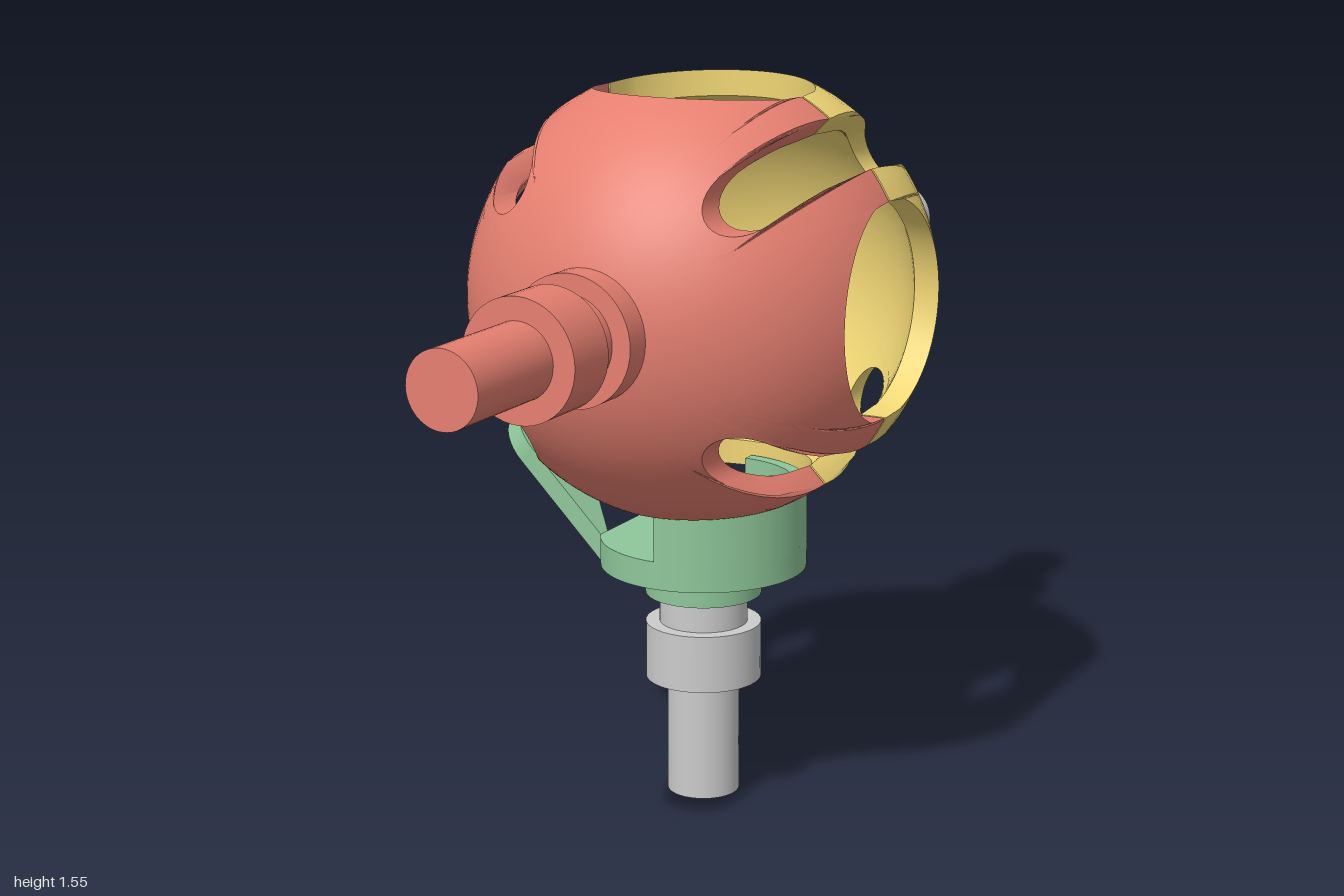
import * as THREE from 'three';
import { toCreasedNormals } from 'three/addons/utils/BufferGeometryUtils.js';

const mat = (color) => new THREE.MeshStandardMaterial({ color, side: THREE.DoubleSide });
const GREY = mat(0xcccccc), RED = mat(0xe57f70), YELLOW = mat(0xf0d675), GREEN = mat(0x8fc79a);

const CX = 0.017, CY = 1.11;              // centre of the ball
const R_OUT = 0.48, R_IN = 0.43;          // shell radii
const SHIFT = 0.03, GAP = 0.003;          // sphere centre offset and seam gap along z
const HOLE = 0.23;                        // radius of the round side openings
const SLOT_W = 0.067, SLOT_C = 0.378;     // slot half width, centre of its round end
const RING = 0.305, POLE = 0.05;          // guide rings for the surface grid

function mesh(name, geometry, material) {
  const m = new THREE.Mesh(geometry, material);
  m.name = name;
  return m;
}

// Rim of one eighth of a half shell (from opening centre to slot tip), with guide azimuths
function eighthRim(R) {
  const rho = Math.sqrt(R * R - (SHIFT - GAP) ** 2);
  const limit = Math.PI / 4 - Math.asin(SLOT_W / RING);
  const rim = [];
  const slotPoint = (s, o) => [(s - o) * Math.SQRT1_2, (s + o) * Math.SQRT1_2];
  const end = Math.acos(GAP / HOLE);
  for (let i = 0; i <= 16; i++) {         // round opening
    const a = (i / 16) * end, x = HOLE * Math.sin(a), z = HOLE * Math.cos(a);
    rim.push([x, Math.sqrt(R * R - x * x - (z - SHIFT) ** 2)]);
  }
  const a0 = Math.asin(Math.sin(end) * HOLE / rho), a1 = Math.PI / 4 - Math.asin(SLOT_W / rho);
  for (let i = 1; i <= 4; i++) {          // seam edge
    const a = a0 + (a1 - a0) * i / 4;
    rim.push([rho * Math.sin(a), rho * Math.cos(a)]);
  }
  const s0 = Math.sqrt(rho * rho - SLOT_W * SLOT_W);
  for (let i = 1; i <= 4; i++) rim.push(slotPoint(s0 + (SLOT_C - s0) * i / 4, SLOT_W)); // slot side
  const n = rim.length;
  const out = rim.map(([x, y], i) => ({ x, y, az: Math.min(Math.atan2(x, y), limit - (n - i) * 0.0005) }));
  for (let i = 1; i <= 8; i++) {          // round slot end
    const b = (i / 8) * Math.PI / 2, o = SLOT_W * Math.cos(b);
    const [x, y] = slotPoint(SLOT_C - SLOT_W * Math.sin(b), o);
    out.push({ x, y, az: Math.PI / 4 - Math.asin(o / RING) });
  }
  return out;
}

// Full rim: mirror the eighth into a quarter, then turn it four times
function fullRim(R) {
  const e = eighthRim(R);
  const mirrored = e.slice(1, -1).reverse().map((p) => ({ x: p.y, y: p.x, az: Math.PI / 2 - p.az }));
  const quarter = [...e, ...mirrored];
  const rim = [];
  for (let q = 0; q < 4; q++) {
    const c = Math.round(Math.cos(q * Math.PI / 2)), s = Math.round(Math.sin(q * Math.PI / 2));
    for (const p of quarter) rim.push({ x: p.x * c + p.y * s, y: p.y * c - p.x * s, az: p.az + q * Math.PI / 2 });
  }
  return rim;
}

// Rows of points running from the pole to the rim on a sphere of radius R
function sphereRows(R) {
  const rows = [];
  const onSphere = (x, y) => new THREE.Vector3(x, y, Math.sqrt(Math.max(0, R * R - x * x - y * y)));
  const rim = fullRim(R).map((p) => {
    const r = Math.hypot(p.x, p.y);
    const edge = onSphere(p.x, p.y);
    if (R * R - r * r < (SHIFT - GAP) ** 2 + 1e-6) edge.z = GAP - SHIFT;
    const sin = Math.sin(p.az), cos = Math.cos(p.az);
    return { edge, guide: onSphere(RING * sin, RING * cos), pole: onSphere(POLE * sin, POLE * cos) };
  });
  const blend = (a, b, t) => a.clone().lerp(b, t).setLength(R);
  for (let i = 0; i < 8; i++) rows.push(rim.map((p) => blend(p.pole, p.guide, i / 8)));
  for (let i = 0; i <= 10; i++) rows.push(rim.map((p) => blend(p.guide, p.edge, i / 10)));
  return rows;
}

// Half shell: outer skin, cut walls and inner skin as one grid
function halfShellGeometry() {
  const rows = [...sphereRows(R_OUT), ...sphereRows(R_IN).reverse()];
  const n = rows[0].length, pos = [], index = [];
  for (const row of rows) for (const p of row) pos.push(p.x, p.y, p.z + SHIFT);
  for (let i = 0; i < rows.length - 1; i++) {
    for (let j = 0; j < n; j++) {
      const k = (j + 1) % n;
      const a = i * n + j, b = i * n + k, c = b + n, d = a + n;
      index.push(a, b, c, a, c, d);
    }
  }
  const g = new THREE.BufferGeometry();
  g.setAttribute('position', new THREE.Float32BufferAttribute(pos, 3));
  g.setIndex(index);
  return toCreasedNormals(g, 0.5);
}

// Cylinder along y between two heights
function post(name, r, y0, y1, material) {
  const g = new THREE.CylinderGeometry(r, r, y1 - y0, 48);
  g.translate(0, (y0 + y1) / 2, 0);
  return mesh(name, g, material);
}

// Stepped shaft along +y, with y = 0 on the face of its boss
function shaft(name, material) {
  const g = new THREE.Group();
  g.name = name;
  g.add(
    post('shaftInnerPin', 0.0625, -0.162, 0.01, material),
    post('shaftNeck', 0.095, 0, 0.065, material),
    post('shaftCollar', 0.125, 0.065, 0.19, material),
    post('shaftRod', 0.078, 0.19, 0.45, material),
  );
  return g;
}

function extrude(shape, depth) {
  return toCreasedNormals(new THREE.ExtrudeGeometry(shape, { depth, bevelEnabled: false, curveSegments: 40 }), 0.5);
}

export function createModel() {
  const model = new THREE.Group();
  model.name = 'ballJoint';

  // Two halves of the slotted ball, each with boss and shaft
  const shellGeo = halfShellGeometry();
  for (const [side, shellMat, shaftMat, turn] of [['front', RED, RED, 0], ['back', YELLOW, GREY, Math.PI]]) {
    const half = new THREE.Group();
    half.name = side + 'Half';
    const axle = new THREE.Group();
    axle.name = side + 'Axle';
    axle.rotation.x = Math.PI / 2;
    const stem = shaft(side + 'Shaft', shaftMat);
    stem.position.y = 0.55;
    axle.add(post(side + 'Boss', 0.135, 0.465, 0.55, shellMat), stem);
    half.add(mesh(side + 'Shell', shellGeo, shellMat), axle);
    half.position.set(CX, CY, 0);
    half.rotation.y = turn;
    model.add(half);
  }

  // Lower carrier: disc cut flat at the arm, boss and half-round wall
  const carrier = new THREE.Group();
  carrier.name = 'carrier';
  carrier.position.x = CX;
  const disc = new THREE.Shape();
  disc.absarc(0, 0, 0.222, 0.48 - Math.PI, Math.PI - 0.48, false);
  disc.closePath();
  const wall = new THREE.Shape();
  wall.absarc(0, 0, 0.222, -Math.PI / 2, Math.PI / 2, false);
  wall.absarc(0, 0, 0.193, Math.PI / 2, -Math.PI / 2, true);
  wall.closePath();
  for (const [name, shape, y, h] of [['carrierDisc', disc, 0.515, 0.06], ['carrierWall', wall, 0.57, 0.13]]) {
    const m = mesh(name, extrude(shape, h), GREEN);
    m.rotation.x = -Math.PI / 2;
    m.position.y = y;
    carrier.add(m);
  }
  const lowerShaft = shaft('lowerShaft', GREY);
  lowerShaft.rotation.x = Math.PI;
  lowerShaft.position.y = 0.45;
  carrier.add(post('carrierBoss', 0.125, 0.45, 0.52, GREEN), lowerShaft);
  model.add(carrier);

  // Slanted arm with a guide pin aimed at the ball's centre
  const arm = new THREE.Group();
  arm.name = 'guideArm';
  const plate = new THREE.Shape();
  plate.moveTo(-0.281, -0.1);
  plate.absarc(0, 0, 0.1, -Math.PI / 2, Math.PI / 2, false);
  plate.lineTo(-0.281, 0.1);
  plate.closePath();
  const pin = post('guidePin', 0.0625, 0.02, 0.13, GREY);
  pin.rotation.x = Math.PI / 2;
  arm.add(mesh('armPlate', extrude(plate, 0.042), GREEN), pin);
  const s = Math.SQRT1_2;
  arm.quaternion.setFromRotationMatrix(new THREE.Matrix4().makeBasis(
    new THREE.Vector3(-s, s, 0), new THREE.Vector3(0, 0, 1), new THREE.Vector3(s, s, 0)));
  arm.position.set(-0.379, 0.714, 0);
  model.add(arm);

  return model;
}
